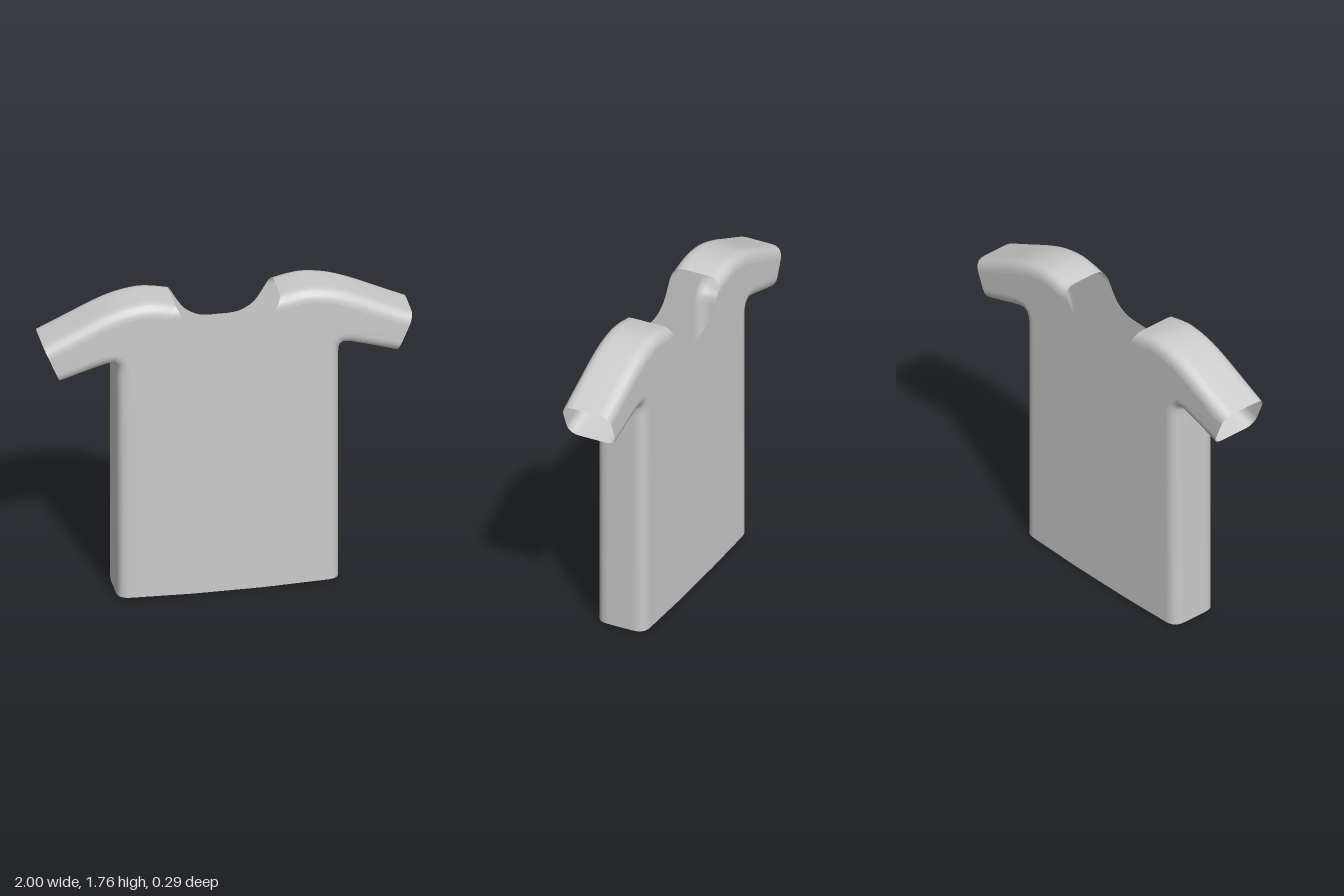
import * as THREE from 'three';
import { mergeGeometries, mergeVertices } from 'three/addons/utils/BufferGeometryUtils.js';

const V = (x, y) => new THREE.Vector2(x, y);
const DEPTH = 0.145; // half thickness of the shirt
const INSET = 0.068; // how far the rounded seams reach into the panels

// Rounded seam section: [inset fraction, z], front to back
const half = [[1, DEPTH], [0.72, 0.143], [0.42, 0.136], [0.18, 0.122], [0.05, 0.103], [0, 0.075]];
const section = [...half, ...half.map(([d, z]) => [d, -z]).reverse()];

// Inward offset vector at each point of a counter-clockwise path
function insets(path, first, last) {
  return path.map((p, i) => {
    if (i === 0) return first;
    if (i === path.length - 1) return last;
    const a = p.clone().sub(path[i - 1]).normalize();
    const b = path[i + 1].clone().sub(p).normalize();
    const t = a.add(b).normalize();
    return V(-t.y, t.x).multiplyScalar(INSET);
  });
}

// Strip that wraps from the front panel round to the back panel
function seamStrip(path, ins) {
  const pos = [], index = [], n = section.length;
  path.forEach((p, i) => section.forEach(([d, z], j) => {
    pos.push(p.x + ins[i].x * d, p.y + ins[i].y * d, z);
    if (i < path.length - 1 && j < n - 1) {
      const a = i * n + j, b = a + 1, c = a + n, e = c + 1;
      index.push(a, b, c, b, e, c);
    }
  }));
  const g = new THREE.BufferGeometry();
  g.setAttribute('position', new THREE.Float32BufferAttribute(pos, 3));
  g.setIndex(index);
  return g;
}

export function createModel() {
  const group = new THREE.Group();
  group.name = 'shirt';

  // Seam paths of the +x side: hem to cuff, then cuff to neck
  const under = [V(0.6, 0.01), V(0.6, 0.7), V(0.6, 1.35), V(0.604, 1.39), V(0.612, 1.41),
    V(0.626, 1.42), V(0.66, 1.416), V(0.74, 1.393), V(0.91, 1.34)];
  const shoulder = new THREE.SplineCurve([V(1, 1.555), V(0.84, 1.63), V(0.69, 1.7), V(0.57, 1.742),
    V(0.45, 1.76), V(0.36, 1.752), V(0.285, 1.735)]).getPoints(24);

  const cuff = V(0.09, 0.215).normalize().multiplyScalar(INSET);
  const underIn = insets(under, V(-INSET, 0), cuff);
  const shoulderIn = insets(shoulder, cuff.clone().negate(), V(-0.035, -0.067));

  // Flat panel outline: hem, underarm, shoulder and neckline, then mirrored
  const neck = new THREE.SplineCurve([V(0.25, 1.668), V(0.205, 1.595), V(0.165, 1.556),
    V(0.11, 1.528), V(0.055, 1.52), V(0, 1.52)]).getPoints(20).slice(1);
  const rightHalf = [
    V(0.19, 0), V(0.36, 0.005),
    ...under.map((p, i) => p.clone().add(underIn[i])),
    ...shoulder.map((p, i) => p.clone().add(shoulderIn[i])),
    ...neck,
  ];
  const leftHalf = rightHalf.slice(0, -1).map((p) => V(-p.x, p.y)).reverse();
  const panel = new THREE.ShapeGeometry(new THREE.Shape([...rightHalf, ...leftHalf]));
  panel.deleteAttribute('uv');
  panel.deleteAttribute('normal');
  panel.translate(0, 0, DEPTH);

  // Half turn gives the back panel and the opposite seams
  const parts = [panel, seamStrip(under, underIn), seamStrip(shoulder, shoulderIn)];
  const all = parts.flatMap((g) => [g, g.clone().rotateY(Math.PI)]);
  const geometry = mergeVertices(mergeGeometries(all), 1e-4);
  geometry.computeVertexNormals();

  const cloth = new THREE.MeshStandardMaterial({ color: 0xcccccc, side: THREE.DoubleSide });
  const shirt = new THREE.Mesh(geometry, cloth);
  shirt.name = 'shirtShell';
  group.add(shirt);
  return group;
}
